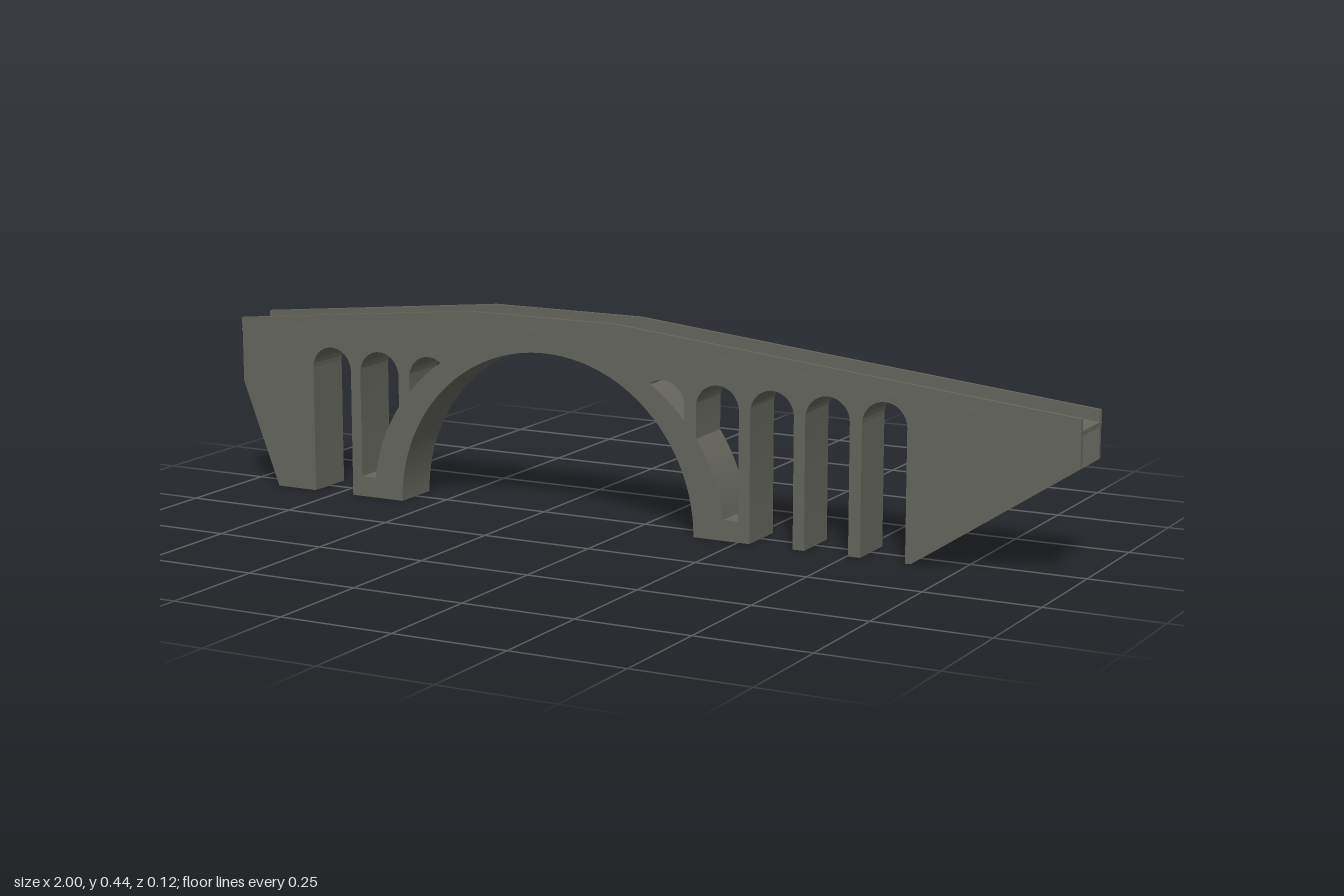
import * as THREE from 'three';
import { toCreasedNormals } from 'three/addons/utils/BufferGeometryUtils.js';

const TOP = [[-1, 0.38], [-0.4, 0.44], [-0.04, 0.44], [1, 0.335]]; // parapet crest line
const CX = -0.217;      // centre of the main arch
const SPRING = 0.28;    // springing height of the small arches
const R = 0.05;         // small arch radius
const HALF = 0.0565;    // half width of the body

// height of the crest line at x
function crest(x) {
  for (let i = 0; i < TOP.length - 1; i++) {
    const [a, ya] = TOP[i], [b, yb] = TOP[i + 1];
    if (x <= b) return ya + (yb - ya) * (x - a) / (b - a);
  }
  return TOP[TOP.length - 1][1];
}

// points parallel to the crest, dropped by d, from x0 to x1
function crestLine(x0, x1, d) {
  const xs = [x0, ...TOP.map(p => p[0]).filter(x => x > x0 && x < x1), x1];
  return xs.map(x => new THREE.Vector2(x, crest(x) - d));
}

function arcPoints(cx, cy, rx, ry, a0, a1, n) {
  return Array.from({ length: n + 1 }, (_, i) => {
    const a = a0 + (a1 - a0) * i / n;
    return new THREE.Vector2(cx + rx * Math.cos(a), cy + ry * Math.sin(a));
  });
}

export function createModel() {
  const bridge = new THREE.Group();
  bridge.name = 'archBridge';
  const concrete = new THREE.MeshStandardMaterial({ color: 0x66665e });
  concrete.name = 'concrete';

  function slab(name, shape, z0, z1) {
    let geo = new THREE.ExtrudeGeometry(shape, { depth: z1 - z0, bevelEnabled: false, curveSegments: 40 });
    geo = toCreasedNormals(geo, 0.4);
    geo.translate(0, 0, z0);
    const mesh = new THREE.Mesh(geo, concrete);
    mesh.name = name;
    bridge.add(mesh);
  }

  // strip following the crest between two drops
  const band = (d0, d1) => new THREE.Shape([...crestLine(-1, 1, d1), ...crestLine(-1, 1, d0).reverse()]);

  // body: piers, small arches and the main arch in one outline
  const body = new THREE.Shape();
  const opening = xl => {
    body.lineTo(xl, 0);
    body.lineTo(xl, SPRING);
    body.absarc(xl + R, SPRING, R, Math.PI, 0, true);
    body.lineTo(xl + 2 * R, 0);
  };
  body.moveTo(-0.82, 0);
  opening(-0.81);
  body.lineTo(CX - 0.363, 0);
  body.absarc(CX, 0, 0.363, Math.PI, 0, true);
  [0.277, 0.403, 0.53].forEach(opening);
  body.lineTo(0.642, 0);
  crestLine(-0.82, 0.642, 0.035).reverse().forEach(p => body.lineTo(p.x, p.y));

  // spandrel openings, cut off by the back of the main arch
  for (const s of [-1, 1]) {
    const place = pts => new THREE.Path(pts.map(p => new THREE.Vector2(CX + s * p.x, p.y)));
    body.holes.push(place([
      new THREE.Vector2(0.468, 0.045),
      ...arcPoints(0.418, SPRING, R, R, 0, Math.PI, 24),
      ...arcPoints(0, 0, 0.435, 0.398, 0.5626, 0.113, 16),
    ]));
    body.holes.push(place([
      ...arcPoints(0.29, SPRING, R, R, 0, 2.2, 18),
      ...arcPoints(0, 0, 0.435, 0.398, 0.931, 0.6735, 10),
    ]));
  }
  slab('archesAndPiers', body, -HALF, HALF);

  // road deck
  slab('deck', band(0.025, 0.035), -HALF, HALF);

  // abutment side walls, open between at both ends
  const leftWall = new THREE.Shape([
    new THREE.Vector2(-1, 0.235), new THREE.Vector2(-0.91, 0), new THREE.Vector2(-0.82, 0),
    ...crestLine(-1, -0.82, 0.035).reverse(),
  ]);
  const rightWall = new THREE.Shape([
    new THREE.Vector2(0.642, 0), new THREE.Vector2(1, 0.235),
    ...crestLine(0.642, 1, 0.035).reverse(),
  ]);

  for (const s of [-1, 1]) {
    const side = (name, shape, a, b) => slab(name, shape, Math.min(s * a, s * b), Math.max(s * a, s * b));
    side('steepAbutmentWall', leftWall, 0.0475, HALF);
    side('longAbutmentWall', rightWall, 0.0475, HALF);
    side('parapet', band(0, 0.025), 0.05, 0.058);
    side('cornice', band(0.025, 0.03), HALF, 0.0597);
  }
  return bridge;
}
